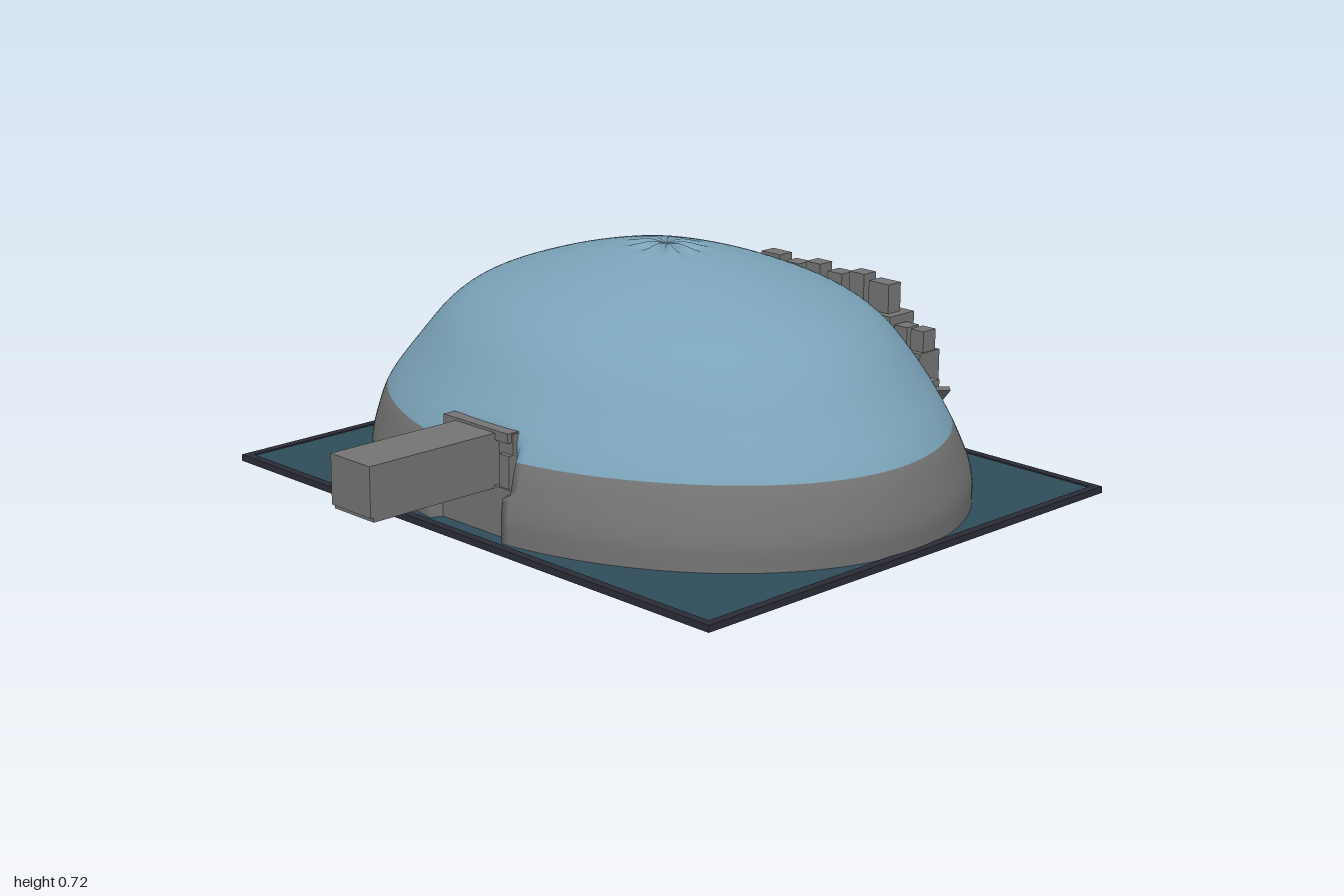
import * as THREE from 'three';

const mat = (name, color, extra = {}) => {
  const m = new THREE.MeshStandardMaterial({ color, ...extra });
  m.name = name;
  return m;
};

export function createModel() {
  const model = new THREE.Group();
  const blue = mat('dome blue', 0x7ba3b9, { side: THREE.DoubleSide });
  const grey = mat('stone grey', 0x747474, { side: THREE.DoubleSide });
  const teal = mat('floor teal', 0x2f4d5b);
  const dark = mat('rim dark', 0x2c2c36);

  const add = (name, geo, material, parent = model) => {
    const mesh = new THREE.Mesh(geo, material);
    mesh.name = name;
    parent.add(mesh);
    return mesh;
  };
  // Box given by its limits on each axis
  const box = (name, x0, x1, y0, y1, z0, z1, material = grey, parent = model) => {
    const m = add(name, new THREE.BoxGeometry(x1 - x0, y1 - y0, z1 - z0), material, parent);
    m.position.set((x0 + x1) / 2, (y0 + y1) / 2, (z0 + z1) / 2);
    return m;
  };

  // Base tray: floor with a slightly raised rim
  box('baseSlab', -0.99, 0.99, 0, 0.012, -0.99, 0.64, dark);
  box('baseFloor', -0.965, 0.965, 0.012, 0.016, -0.965, 0.615, teal);
  for (const s of [-1, 1]) {
    box('sideRim', s * 0.977 - 0.013, s * 0.977 + 0.013, 0, 0.02, -0.99, 0.64, dark);
    box('endRim', -0.99, 0.99, 0, 0.02, s * 0.802 - 0.188, s * 0.802 - 0.162, dark);
  }

  // Dome profile: radius fraction against height
  const profile = new THREE.CatmullRomCurve3([
    [1, 0.014], [1, 0.09], [0.978, 0.17], [0.945, 0.245], [0.84, 0.375], [0.73, 0.493],
    [0.62, 0.565], [0.41, 0.642], [0.2, 0.692], [0.08, 0.708], [0, 0.711],
  ].map(([r, y]) => new THREE.Vector3(r, y, 0)), false, 'centripetal');
  const rows = 60, cols = 240, seam = 18; // rows below the seam are stone
  const positions = [], index = [];
  for (let j = 0; j <= rows; j++) {
    const p = profile.getPoint(j / rows);
    for (let i = 0; i < cols; i++) {
      const a = (i / cols) * Math.PI * 2;
      const back = Math.pow(Math.max(0, -Math.sin(a)), 4);
      // The back is drawn in under the battlement and flares out at the foot
      const pinch = 0.085 * Math.exp(-Math.pow((p.y - 0.24) / 0.09, 2)) * back;
      const foot = 0.025 * Math.max(0, 1 - p.y / 0.15) * back;
      const wobble = 1 + 0.008 * Math.sin(5 * a + 0.6) * Math.min(1, p.y * 4);
      const r = p.x * (1 - pinch + foot) * wobble;
      const x = 0.97 * r * Math.cos(a);
      let z = -0.18 + 0.79 * r * Math.sin(a);
      // Flat recess behind the entrance
      if (Math.abs(x) < 0.15 && p.y < 0.32) z = Math.min(z, 0.53);
      // Pinched folds around the crown
      const fold = 0.008 * Math.cos(9 * a) * Math.exp(-Math.pow((p.x - 0.06) / 0.06, 2)) * Math.min(1, p.x * 25);
      positions.push(x, p.y + fold, z);
    }
  }
  for (let j = 0; j < rows; j++) {
    for (let i = 0; i < cols; i++) {
      const n = (i + 1) % cols;
      const a = j * cols + i, b = j * cols + n, c = a + cols, d = b + cols;
      index.push(a, c, b, b, c, d);
    }
  }
  const domeGeo = new THREE.BufferGeometry();
  domeGeo.setAttribute('position', new THREE.Float32BufferAttribute(positions, 3));
  domeGeo.setIndex(index);
  domeGeo.addGroup(0, seam * cols * 6, 0);
  domeGeo.addGroup(seam * cols * 6, (rows - seam) * cols * 6, 1);
  domeGeo.computeVertexNormals();
  add('dome', domeGeo, [grey, blue]);

  // Front entrance: wall, door jambs and the projecting passage
  const entrance = new THREE.Group();
  entrance.name = 'entrance';
  model.add(entrance);
  box('entranceSill', -0.15, 0.15, 0.015, 0.16, 0.45, 0.565, grey, entrance);
  box('entranceWall', -0.14, 0.14, 0.16, 0.315, 0.42, 0.545, grey, entrance);
  for (const s of [-1, 1]) {
    box('jamb', s * 0.12 - 0.02, s * 0.12 + 0.02, 0.16, 0.255, 0.53, 0.56, grey, entrance);
  }
  box('lintel', -0.135, 0.135, 0.29, 0.318, 0.52, 0.56, grey, entrance);
  box('passage', -0.083, 0.083, 0.165, 0.31, 0.54, 1, grey, entrance);
  box('passageFloor', -0.083, 0.083, 0.152, 0.165, 0.54, 0.99, grey, entrance);

  // Battlement across the back
  const wall = new THREE.Group();
  wall.name = 'battlement';
  model.add(wall);
  box('parapet', -0.295, 0.295, 0.3, 0.425, -0.945, -0.835, grey, wall);
  for (let i = 0; i < 6; i++) {
    const x = -0.225 + i * 0.09;
    const w = i === 0 || i === 5 ? 0.04 : 0.03;
    box('merlon', x - w, x + w, 0.42, i % 2 ? 0.515 : 0.53, -0.915, -0.86, grey, wall);
    box('corbel', x - 0.028, x + 0.028, 0.25, 0.32, -0.875, -0.835, grey, wall);
  }
  for (const s of [-1, 1]) {
    box('lowerParapet', s * 0.355 - 0.065, s * 0.355 + 0.065, 0.225, 0.335, -0.92, -0.83, grey, wall);
    for (const x of [0.325, 0.39]) {
      box('lowerMerlon', s * x - 0.025, s * x + 0.025, 0.33, 0.4, -0.905, -0.85, grey, wall);
    }
    // Tapering bracket below each end
    const bracket = add('bracket', new THREE.CylinderGeometry(0.055, 0.015, 0.11, 4), grey, wall);
    bracket.geometry.rotateY(Math.PI / 4);
    bracket.position.set(s * 0.39, 0.19, -0.87);
    box('cornerStone', s * 0.46 - 0.03, s * 0.46 + 0.03, 0.22, 0.27, -0.84, -0.78, grey, wall);

    // Small outcrops on the dome's shoulders
    const outcrop = add('outcrop', new THREE.ConeGeometry(0.028, 0.035, 4), grey);
    outcrop.rotation.x = Math.PI;
    outcrop.position.set(s * 0.72, 0.325, -0.58);
  }
  return model;
}
